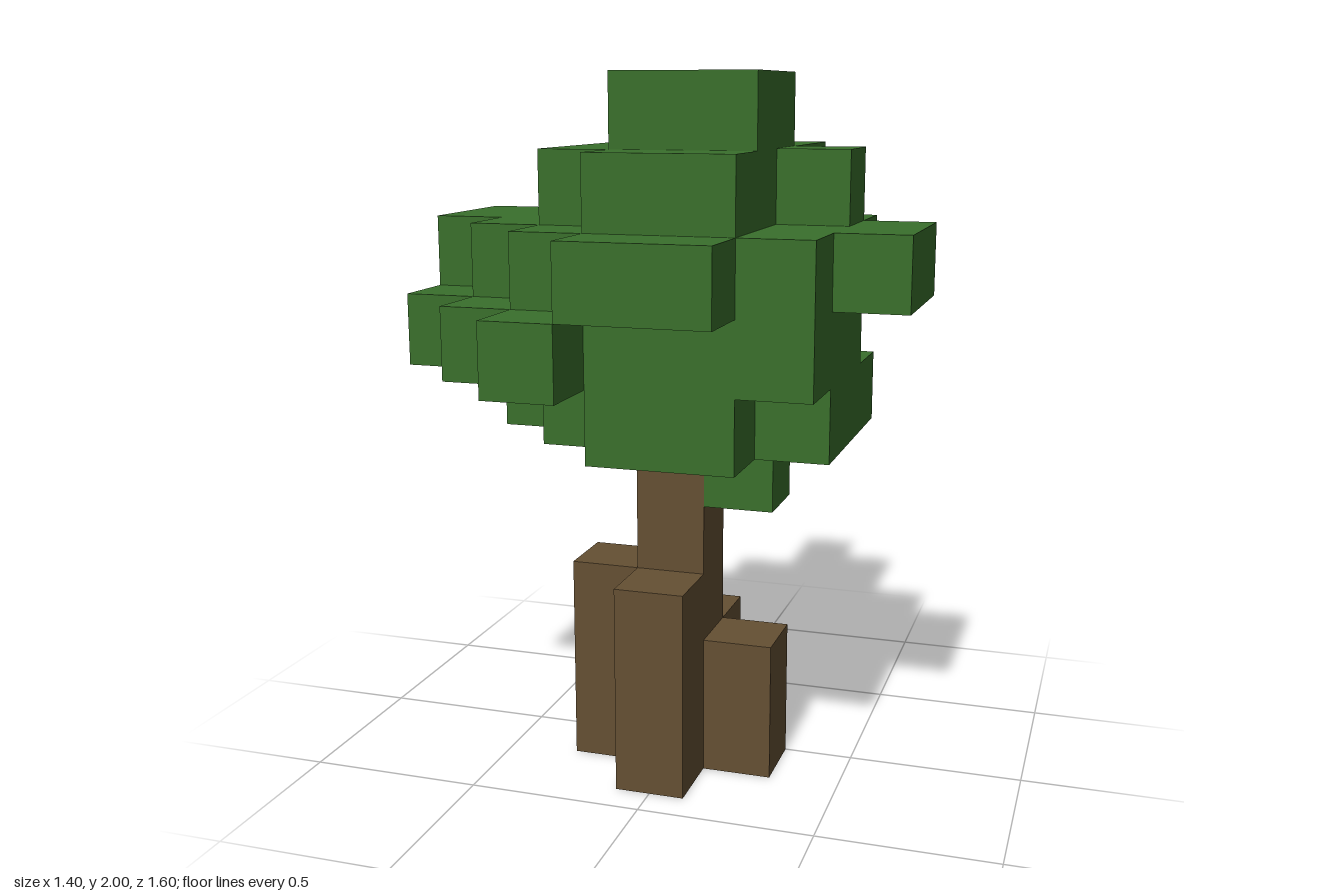
import * as THREE from 'three';
import { mergeGeometries } from 'three/addons/utils/BufferGeometryUtils.js';

const S = 0.2; // cell size
const key = (i, j, k) => `${i},${j},${k}`;

// Runs of cells: [layer, row from the back, first column, last column]
const leafRuns = [
  [4, 1, 3, 3], [4, 3, 3, 3], [4, 4, 4, 4],
  [5, 0, 3, 3], [5, 1, 2, 4], [5, 2, 2, 2], [5, 3, 2, 5], [5, 4, 1, 5], [5, 5, 2, 5], [5, 6, 3, 4],
  [6, 1, 2, 2], [6, 2, 1, 4], [6, 3, 0, 4], [6, 4, 0, 5], [6, 5, 0, 5], [6, 6, 1, 5], [6, 7, 2, 2],
  [7, 0, 3, 3], [7, 1, 3, 4], [7, 2, 2, 4], [7, 3, 0, 5], [7, 4, 0, 6], [7, 5, 1, 6], [7, 6, 2, 5], [7, 7, 3, 4],
  [8, 2, 4, 4], [8, 3, 2, 4], [8, 4, 2, 5], [8, 5, 2, 4], [8, 6, 3, 4],
  [9, 4, 3, 4], [9, 5, 3, 4],
];

// Upright stack of cells
const column = (i, k, height) => Array.from({ length: height }, (_, j) => [i, j, k]);

export function createModel() {
  const bark = new THREE.MeshStandardMaterial({ color: 0x655033 });
  bark.name = 'bark brown';
  const leaf = new THREE.MeshStandardMaterial({ color: 0x3a702c });
  leaf.name = 'leaf green';

  const parts = [
    { name: 'trunk', material: bark, cells: column(3, 4, 6) },
    { name: 'frontRoot', material: bark, cells: column(3, 5, 3) },
    { name: 'rightRoot', material: bark, cells: column(2, 4, 3) },
    { name: 'leftRoot', material: bark, cells: column(4, 4, 2) },
    { name: 'backRoot', material: bark, cells: column(3, 3, 2) },
    { name: 'branch', material: bark, cells: [[3, 5, 3], [3, 5, 2], [3, 6, 2], [3, 6, 1]] },
    { name: 'leaves', material: leaf, cells: [] },
  ];

  // Wood claims its cells first, leaves fill the rest
  const filled = new Set();
  for (const part of parts) for (const c of part.cells) filled.add(key(...c));
  const leaves = parts[parts.length - 1];
  for (const [j, k, i0, i1] of leafRuns) {
    for (let i = i0; i <= i1; i++) {
      if (filled.has(key(i, j, k))) continue;
      filled.add(key(i, j, k));
      leaves.cells.push([i, j, k]);
    }
  }

  // One outward square for each direction
  const sides = [
    { d: [1, 0, 0], ry: Math.PI / 2 }, { d: [-1, 0, 0], ry: -Math.PI / 2 },
    { d: [0, 1, 0], rx: -Math.PI / 2 }, { d: [0, -1, 0], rx: Math.PI / 2 },
    { d: [0, 0, 1] }, { d: [0, 0, -1], ry: Math.PI },
  ].map(({ d, rx = 0, ry = 0 }) => ({
    d,
    face: new THREE.PlaneGeometry(S, S).translate(0, 0, S / 2).rotateX(rx).rotateY(ry),
  }));

  const group = new THREE.Group();
  group.name = 'blockTree';
  for (const { name, material, cells } of parts) {
    const faces = [];
    for (const [i, j, k] of cells) {
      for (const { d, face } of sides) {
        if (filled.has(key(i + d[0], j + d[1], k + d[2]))) continue;
        faces.push(face.clone().translate((i - 3) * S, (j + 0.5) * S, (k - 3.5) * S));
      }
    }
    if (!faces.length) continue;
    const mesh = new THREE.Mesh(mergeGeometries(faces), material);
    mesh.name = name;
    group.add(mesh);
  }
  return group;
}
